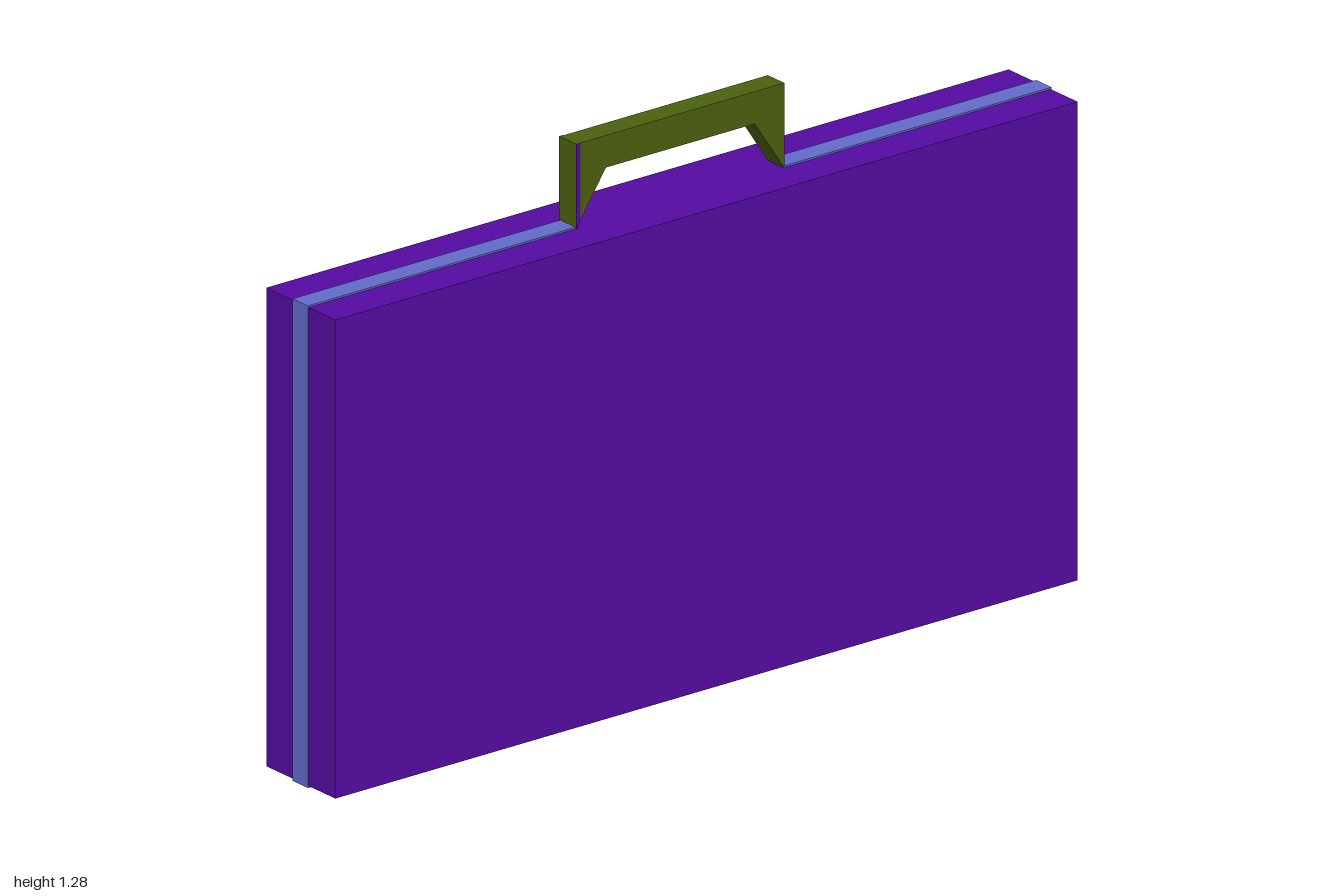
import * as THREE from 'three';

export function createModel() {
  const model = new THREE.Group();
  model.name = 'briefcase';
  const mat = (name, color) => {
    const m = new THREE.MeshStandardMaterial({ color });
    m.name = name;
    return m;
  };
  const purple = mat('purple', 0x540ca2);
  const blue = mat('blue', 0x626bc8);
  const olive = mat('olive', 0x4c610f);

  const add = (name, geometry, material, x = 0, y = 0, z = 0) => {
    const mesh = new THREE.Mesh(geometry, material);
    mesh.name = name;
    mesh.position.set(x, y, z);
    model.add(mesh);
  };
  const box = (name, w, h, d, material, x, y, z) =>
    add(name, new THREE.BoxGeometry(w, h, d), material, x, y, z);
  const extrude = (points, depth) => {
    const shape = new THREE.Shape(points.map(([x, y]) => new THREE.Vector2(x, y)));
    return new THREE.ExtrudeGeometry(shape, { depth, bevelEnabled: false });
  };

  const H = 1.09, D = 0.234, band = 0.052, t = 0.004, grip = 0.28;

  // Case body
  box('caseBody', 1.996, H - t, D, purple, 0, (H + t) / 2, 0);

  // Seam band around the edges, broken by the handle on top and an insert below
  const run = 1 - grip;
  for (const s of [-1, 1]) {
    box('sideBand', t, H, band, blue, s * (1 - t / 2), H / 2, 0);
    box('topBand', run, t, band, blue, s * (grip + run / 2), H + t / 2, 0);
    box('bottomBand', run, t, band, blue, s * (grip + run / 2), t / 2, 0);
  }
  box('bottomInsert', 2 * grip, t, band, olive, 0, t / 2, 0);

  // Handle with tapered legs
  const depth = 0.056;
  add('handle', extrude([
    [-grip, H], [-0.2, 1.21], [0.2, 1.21], [grip, H], [grip, 1.283], [-grip, 1.283],
  ], depth), olive, 0, 0, -depth / 2);

  // Thin trim along one end of the handle, front and back
  const trim = extrude([
    [-grip, H], [-0.27, H + 0.015], [-0.27, 1.283], [-grip, 1.283],
  ], 0.002);
  add('frontHandleTrim', trim, purple, 0, 0, depth / 2);
  add('backHandleTrim', trim, purple, 0, 0, -depth / 2 - 0.002);

  return model;
}
